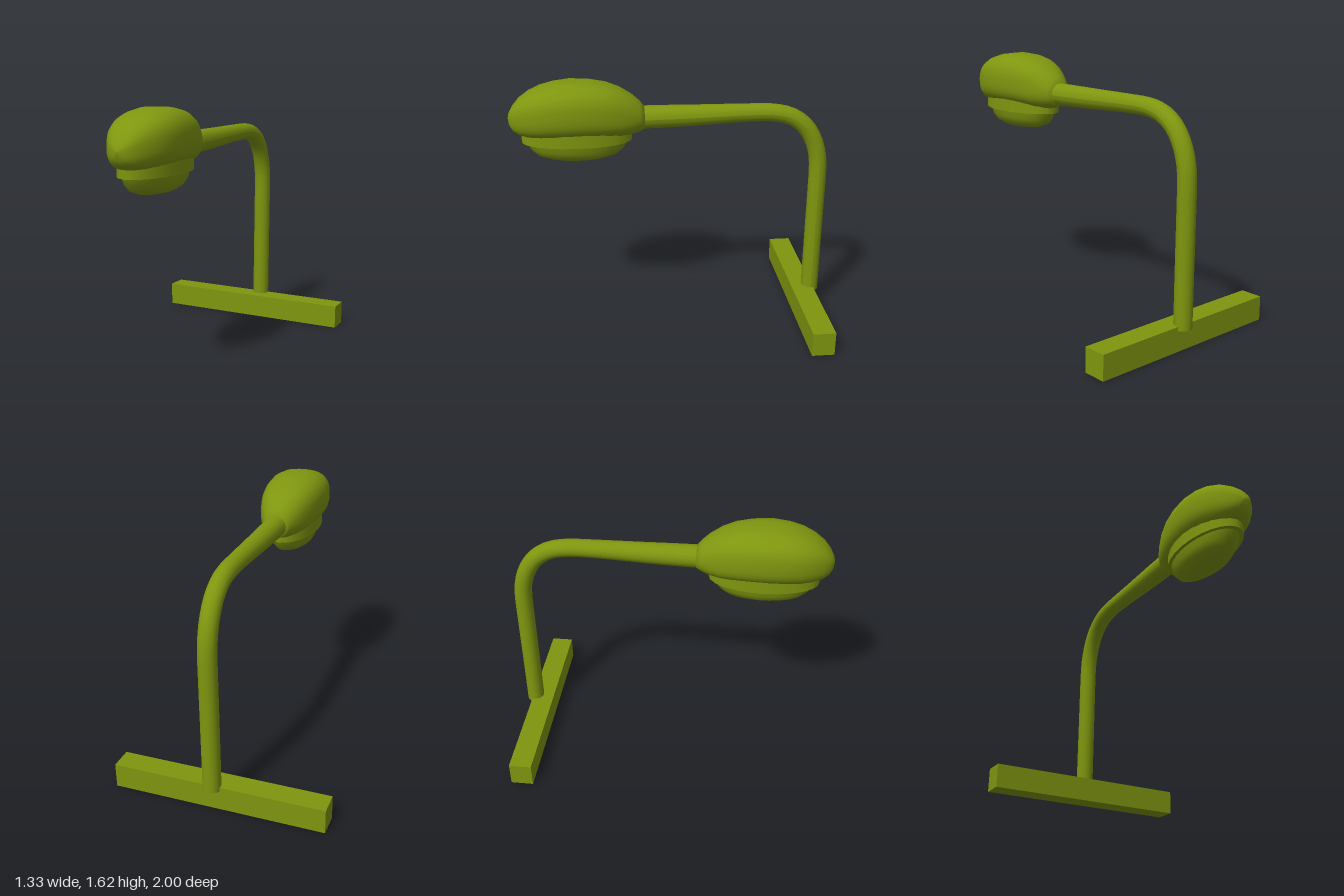
import * as THREE from 'three';

const CX = 0.033; // the pole and lamp sit slightly off the beam's middle
const material = new THREE.MeshStandardMaterial({ color: 0x7f960f });

function add(group, name, geometry, x = 0, y = 0, z = 0) {
  const mesh = new THREE.Mesh(geometry, material);
  mesh.name = name;
  mesh.position.set(x, y, z);
  group.add(mesh);
  return mesh;
}

// Curved arm: a tube whose radius grows towards the lamp
function armGeometry() {
  const points = [
    [0.13, -0.94], [0.5, -0.94], [0.85, -0.941], [1.0, -0.94], [1.1, -0.93], [1.21, -0.893],
    [1.3, -0.83], [1.36, -0.74], [1.385, -0.63], [1.389, -0.48], [1.383, -0.1], [1.38, 0.25],
  ].map(([y, z]) => new THREE.Vector3(0, y, z));
  const path = new THREE.CatmullRomCurve3(points);
  const steps = 48, sides = 20;
  const geometry = new THREE.TubeGeometry(path, steps, 1, sides);
  const pos = geometry.attributes.position;
  const v = new THREE.Vector3();
  for (let i = 0; i <= steps; i++) {
    const centre = path.getPointAt(i / steps);
    const radius = 0.056 + 0.015 * THREE.MathUtils.smoothstep(centre.z, -0.6, 0.2);
    for (let j = 0; j <= sides; j++) {
      const k = i * (sides + 1) + j;
      v.fromBufferAttribute(pos, k).sub(centre).multiplyScalar(radius).add(centre);
      pos.setXYZ(k, v.x, v.y, v.z);
    }
  }
  geometry.computeVertexNormals();
  return geometry;
}

// Lamp housing: squarish oval sections lofted along z
function housingGeometry() {
  // z, top, widest height, bottom, half width
  const sections = [
    [0.17, 1.38, 1.38, 1.38, 0],
    [0.172, 1.45, 1.38, 1.31, 0.07],
    [0.2, 1.485, 1.385, 1.295, 0.092],
    [0.25, 1.528, 1.395, 1.282, 0.122],
    [0.32, 1.568, 1.41, 1.278, 0.152],
    [0.4, 1.598, 1.425, 1.278, 0.176],
    [0.5, 1.616, 1.435, 1.278, 0.194],
    [0.62, 1.622, 1.44, 1.278, 0.202],
    [0.72, 1.61, 1.44, 1.278, 0.195],
    [0.8, 1.59, 1.436, 1.279, 0.178],
    [0.87, 1.56, 1.428, 1.285, 0.149],
    [0.93, 1.518, 1.418, 1.298, 0.112],
    [0.97, 1.472, 1.41, 1.322, 0.075],
    [0.992, 1.432, 1.403, 1.355, 0.038],
    [1.0, 1.4, 1.4, 1.4, 0],
  ];
  const sides = 40, positions = [], index = [];
  for (const [z, top, mid, bottom, width] of sections) {
    const power = 2 / (2 + 0.6 * THREE.MathUtils.smoothstep(z, 0.17, 0.35));
    for (let j = 0; j < sides; j++) {
      const a = (j / sides) * Math.PI * 2;
      const c = Math.cos(a), s = Math.sin(a);
      const height = s > 0 ? top - mid : mid - bottom;
      positions.push(
        width * Math.sign(c) * Math.abs(c) ** power,
        mid + height * Math.sign(s) * Math.abs(s) ** power,
        z);
    }
  }
  for (let i = 0; i < sections.length - 1; i++) {
    for (let j = 0; j < sides; j++) {
      const n = (j + 1) % sides;
      const a = i * sides + j, b = i * sides + n;
      index.push(a, b, a + sides, b, b + sides, a + sides);
    }
  }
  const geometry = new THREE.BufferGeometry();
  geometry.setAttribute('position', new THREE.Float32BufferAttribute(positions, 3));
  geometry.setIndex(index);
  geometry.computeVertexNormals();
  return geometry;
}

export function createModel() {
  const model = new THREE.Group();
  model.name = 'streetLamp';

  add(model, 'baseBeam', new THREE.BoxGeometry(1.33, 0.155, 0.143), 0, 0.0775, -0.883);

  // Arm with a cap closing its lower end
  add(model, 'arm', armGeometry(), CX);
  const cap = add(model, 'armEndCap', new THREE.CircleGeometry(0.056, 20), CX, 0.13, -0.94);
  cap.rotation.x = Math.PI / 2;

  // Lamp head: housing, oval rim and bulging lens
  const head = new THREE.Group();
  head.name = 'lampHead';
  head.position.x = CX;
  model.add(head);
  add(head, 'housing', housingGeometry());

  const rim = new THREE.CylinderGeometry(1, 1, 0.11, 24);
  rim.scale(0.163, 1, 0.338);
  add(head, 'rim', rim, 0, 1.3, 0.587);

  const profile = [[0, 1.135], [0.35, 1.135], [0.58, 1.139], [0.8, 1.162], [0.93, 1.2], [1, 1.25]]
    .map(([r, y]) => new THREE.Vector2(r, y));
  const lens = new THREE.LatheGeometry(profile, 32);
  lens.scale(0.142, 1, 0.31);
  add(head, 'lens', lens, 0, 0, 0.585);

  return model;
}
